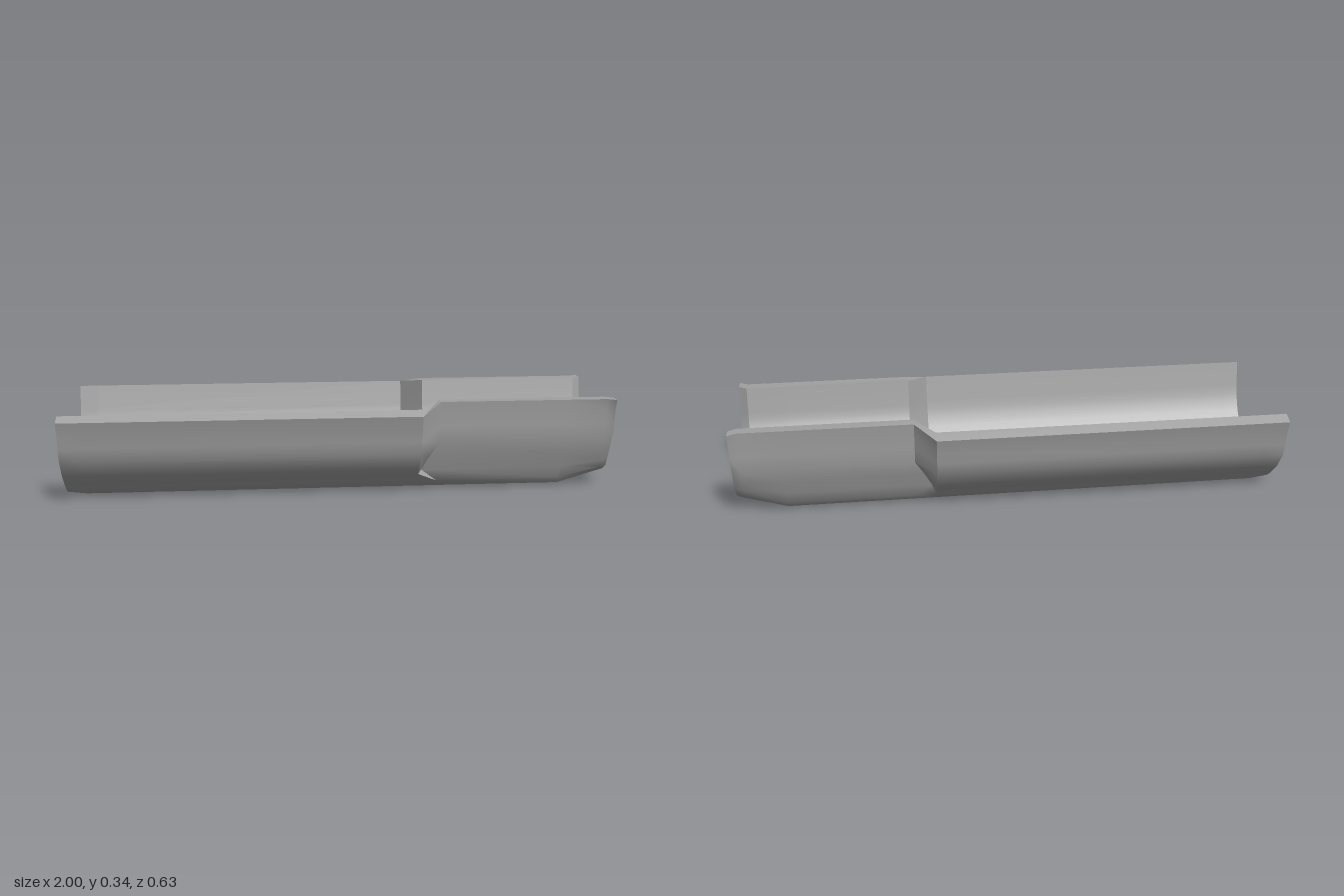
import * as THREE from 'three';
import { toCreasedNormals } from 'three/addons/utils/BufferGeometryUtils.js';

// Half outlines [z, y, optional x] from the rim down to the keel line
const barrel = [[.314, .308], [.30, .254], [.294, .21], [.284, .162], [.243, .099], [.215, .07],
  [.18, .037], [.154, .008], [.127, 0], [.08, 0], [.04, 0], [0, 0]];
const neck = [[.235, .343], [.231, .30], [.229, .25], [.226, .19], [.207, .13], [.192, .08],
  [.175, .032], [.154, .008], [.127, 0], [.08, 0], [.04, 0], [0, 0]];
// The step meets the lower neck wall along a slanted line
const stepX = [.355, .355, .355, .355, .32, .295, .355, .355, .355, .355, .355, .355];
const neckStart = neck.map(([z, y], i) => [z, y, stepX[i]]);
const neckEnd = [[.235, .343], [.231, .30], [.229, .25], [.226, .19], [.207, .135], [.192, .1],
  [.175, .07], [.15, .05], [.115, .043], [.08, .043], [.04, .043], [0, .043]];
const lip = [[.254, .343], [.243, .304], [.236, .25], [.232, .215], [.204, .147], [.188, .11],
  [.171, .076], [.136, .053], [.109, .051], [.08, .051], [.04, .051], [0, .051]];

// Bore half outline: rim point, then an arc down to the floor
function bore(radius, rimZ, rimY) {
  const pts = [[rimZ, rimY]];
  for (let deg = 80; deg >= 0; deg -= 8) {
    const a = THREE.MathUtils.degToRad(deg);
    pts.push([radius * Math.sin(a), .279 - radius * Math.cos(a)]);
  }
  return pts;
}

// Mirrors a half outline into a full row of 3D points at station x
function row(x, half) {
  const left = half.map(([z, y, px]) => [px ?? x, y, z]);
  const right = left.slice(0, -1).reverse().map(([px, y, z]) => [px, y, -z]);
  return [...left, ...right];
}

// Joins successive rows of points into a skin
function skin(rows, flip) {
  const pos = [];
  for (let r = 0; r < rows.length - 1; r++) {
    for (let i = 0; i < rows[r].length - 1; i++) {
      const a = rows[r][i], b = rows[r][i + 1], c = rows[r + 1][i + 1], d = rows[r + 1][i];
      const tris = flip ? [a, c, b, a, d, c] : [a, b, c, a, c, d];
      pos.push(...tris.flat());
    }
  }
  const g = new THREE.BufferGeometry();
  g.setAttribute('position', new THREE.Float32BufferAttribute(pos, 3));
  return toCreasedNormals(g, THREE.MathUtils.degToRad(33));
}

export function createModel() {
  const group = new THREE.Group();
  group.name = 'halfPipeTrough';
  const grey = new THREE.MeshStandardMaterial({ color: 0xa0a0a0 });
  grey.name = 'plain grey';
  const add = (name, rows, flip) => {
    const mesh = new THREE.Mesh(skin(rows, flip), grey);
    mesh.name = name;
    group.add(mesh);
  };

  const wide = bore(.259, .275, .325);
  const narrow = bore(.175, .191, .343);
  const flared = bore(.196, .211, .343);

  // Rounded notch through the floor at the wide end
  const notched = wide.map(([z, y], i) =>
    i < 8 ? [z, y] : [z, y, -1 + .05 * (1 - (z / wide[8][0]) ** 2)]);
  const cutEnd = barrel.map((p, i) => i < 7 ? p : i === 7 ? [.15, .015] : notched[i]);

  const outer = [row(-1, cutEnd), row(-.93, barrel), row(.28, barrel), row(.355, neckStart),
    row(.82, neck), row(.97, neckEnd), row(1, lip)];
  const inner = [row(-1, notched), row(-.93, wide), row(.28, wide), row(.355, narrow),
    row(.82, narrow), row(.97, narrow), row(1, flared)];

  add('outerShell', outer, false);
  add('bore', inner, true);

  // Rims along both open edges
  const last = outer[0].length - 1;
  add('leftRim', outer.map((o, r) => [o[0], inner[r][0]]), true);
  add('rightRim', outer.map((o, r) => [inner[r][last], o[last]]), true);

  // End faces
  add('wideEnd', [outer[0], inner[0]], true);
  add('narrowEnd', [outer[6], inner[6]], false);
  return group;
}
